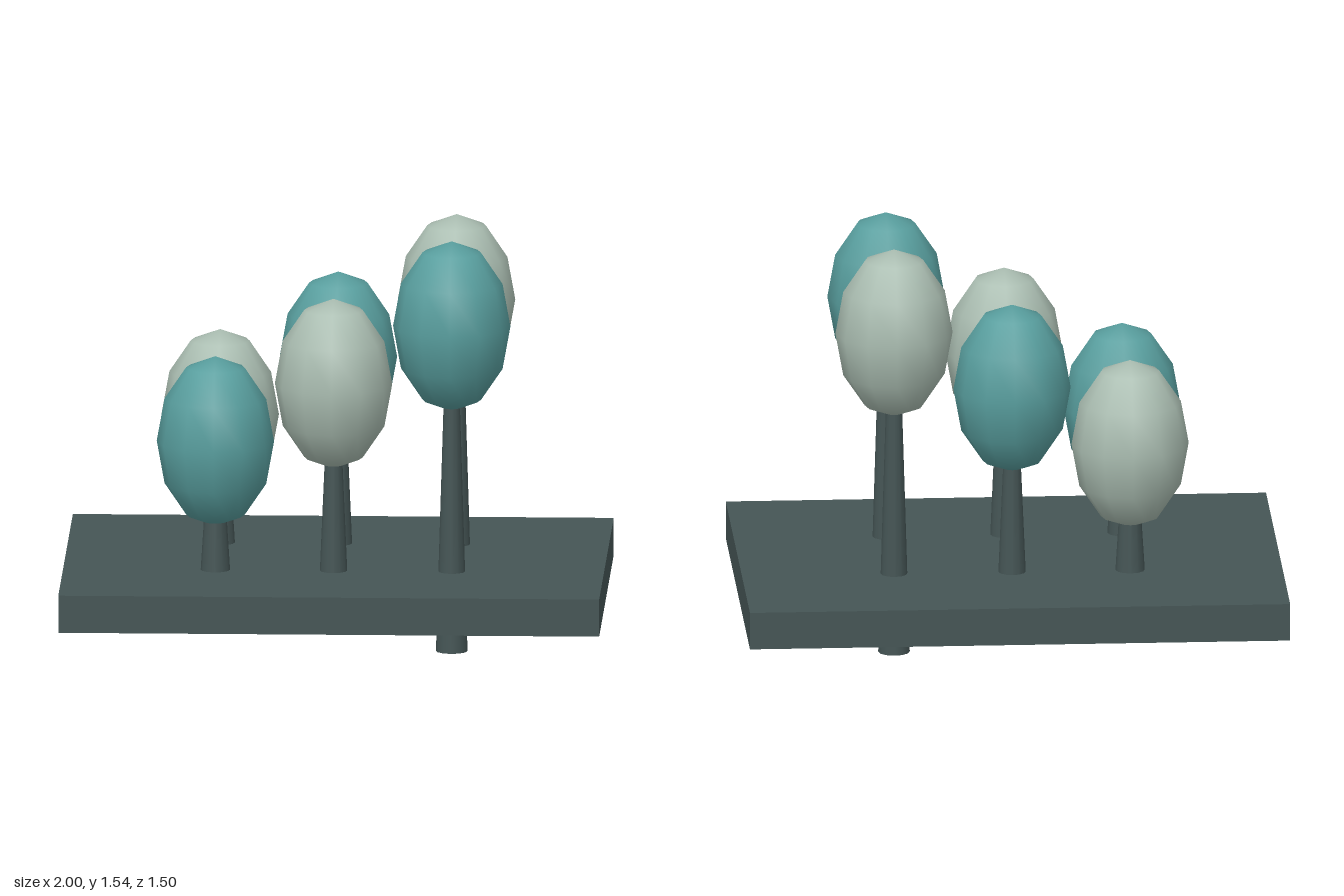
import * as THREE from 'three';

const DARK = 0x455555, TEAL = 0x589e9e, PALE = 0xaabdb1;

function add(parent, name, geometry, color, x, y, z) {
  const mesh = new THREE.Mesh(geometry, new THREE.MeshStandardMaterial({ color }));
  mesh.name = name;
  mesh.position.set(x, y, z);
  parent.add(mesh);
  return mesh;
}

export function createModel() {
  const model = new THREE.Group();
  model.name = 'treePlot';

  // Ground slab
  add(model, 'groundSlab', new THREE.BoxGeometry(2, 0.14, 1.5), DARK, 0, 0.23, 0);

  // Three columns of trees, taller towards +x; taller trunks pass through the slab
  const columns = [
    { x: -0.437, bottom: 0.235, top: 0.7, crownY: 0.785 },
    { x: 0, bottom: 0.118, top: 0.8, crownY: 1.005 },
    { x: 0.437, bottom: 0, top: 0.97, crownY: 1.225 },
  ];

  // Two rows, with crown colours alternating like a checkerboard
  [0.25, -0.25].forEach((z, row) => {
    columns.forEach(({ x, bottom, top, crownY }, col) => {
      const tree = new THREE.Group();
      tree.name = 'tree';
      tree.position.set(x, 0, z);

      // Tapered trunk
      const trunk = new THREE.CylinderGeometry(0.029, 0.0585, top - bottom, 12);
      add(tree, 'trunk', trunk, DARK, 0, (bottom + top) / 2, 0);

      // Egg-shaped crown
      const crown = new THREE.SphereGeometry(0.217, 12, 6);
      const color = (row + col) % 2 ? PALE : TEAL;
      add(tree, 'crown', crown, color, 0, crownY, 0).scale.y = 0.32 / 0.217;

      model.add(tree);
    });
  });

  return model;
}
